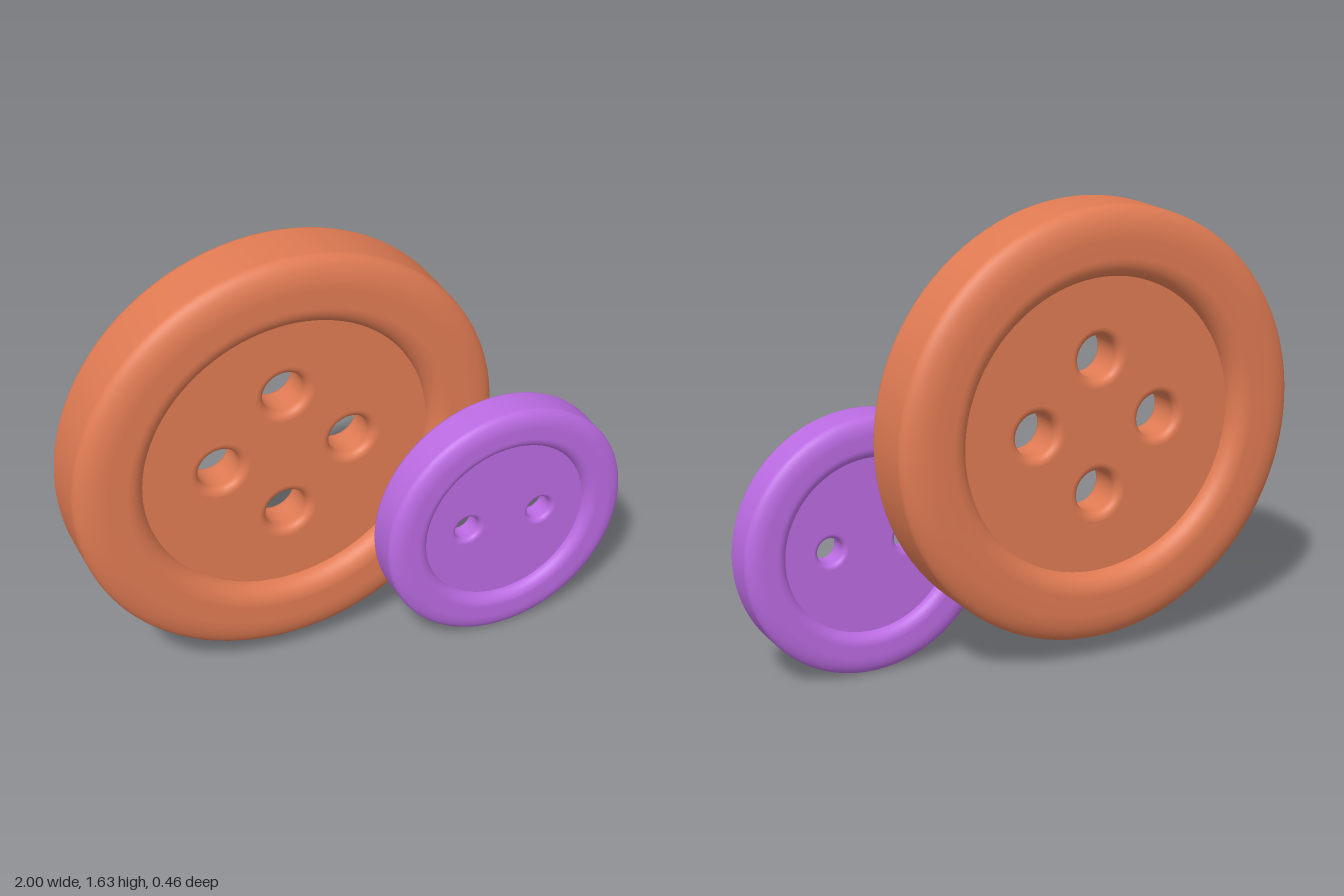
import * as THREE from 'three';

const SEGMENTS = 96;

// Points of a quarter ellipse around (cx, cy), from angle a to angle b in degrees
function arc(cx, cy, rx, ry, a, b, steps = 10) {
  const points = [];
  for (let i = 0; i <= steps; i++) {
    const t = THREE.MathUtils.degToRad(a + (b - a) * i / steps);
    points.push(new THREE.Vector2(cx + rx * Math.cos(t), cy + ry * Math.sin(t)));
  }
  return points;
}

// Lathe turned so that its axis runs along z
function turned(points) {
  return new THREE.LatheGeometry(points, SEGMENTS).rotateX(Math.PI / 2);
}

// The front half of a profile, preceded or followed by its mirror image
const mirrored = (points) => points.map((p) => new THREE.Vector2(p.x, -p.y)).reverse();

function createButton(name, material, o) {
  const button = new THREE.Group();
  button.name = name;
  const add = (part, geometry) => {
    const mesh = new THREE.Mesh(geometry, material);
    mesh.name = part;
    button.add(mesh);
    return mesh;
  };

  // Rim: rounded outer edge, flat crown, softer inner edge down to the recess
  const frontRim = [
    ...arc(o.radius - o.edgeR, o.half - o.edgeZ, o.edgeR, o.edgeZ, 0, 90),
    ...arc(o.recess + o.innerR, o.web, o.innerR, o.half - o.web, 90, 180),
  ];
  add('rim', turned([...mirrored(frontRim), ...frontRim]));

  // Recessed floor on both sides, pierced by the thread holes
  const floor = new THREE.Shape().absarc(0, 0, o.recess, 0, Math.PI * 2);
  for (const [x, y] of o.holes) {
    floor.holes.push(new THREE.Path().absarc(x, y, o.holeR + o.fillet, 0, Math.PI * 2, true));
  }
  const floorGeometry = new THREE.ShapeGeometry(floor, SEGMENTS / 2);
  add('frontFloor', floorGeometry).position.z = o.web;
  const back = add('backFloor', floorGeometry);
  back.position.z = -o.web;
  back.rotation.y = Math.PI;

  // Thread hole walls with rounded lips
  const lip = arc(o.holeR + o.fillet, o.web - o.fillet, o.fillet, o.fillet, 90, 180, 8);
  const wall = turned([...lip, ...mirrored(lip)]);
  for (const [x, y] of o.holes) add('threadHole', wall).position.set(x, y, 0);

  return button;
}

export function createModel() {
  const model = new THREE.Group();
  model.name = 'buttons';

  const orange = new THREE.MeshStandardMaterial({ color: 0xe07b53 });
  orange.name = 'orange';
  const purple = new THREE.MeshStandardMaterial({ color: 0xbb6be2 });
  purple.name = 'purple';

  // Large button with four holes
  const d = 0.243;
  const large = createButton('largeButton', orange, {
    radius: 0.777, half: 0.144, web: 0.08, recess: 0.53,
    edgeR: 0.11, edgeZ: 0.058, innerR: 0.07,
    holeR: 0.077, fillet: 0.03,
    holes: [[d, 0], [-d, 0], [0, d], [0, -d]],
  });
  large.position.set(-0.223, 0.85, -0.087);

  // Small button with two holes, in front
  const small = createButton('smallButton', purple, {
    radius: 0.467, half: 0.086, web: 0.047, recess: 0.318,
    edgeR: 0.065, edgeZ: 0.035, innerR: 0.042,
    holeR: 0.047, fillet: 0.018,
    holes: [[0.145, 0], [-0.145, 0]],
  });
  small.position.set(0.533, 0.467, 0.145);

  model.add(large, small);
  return model;
}
